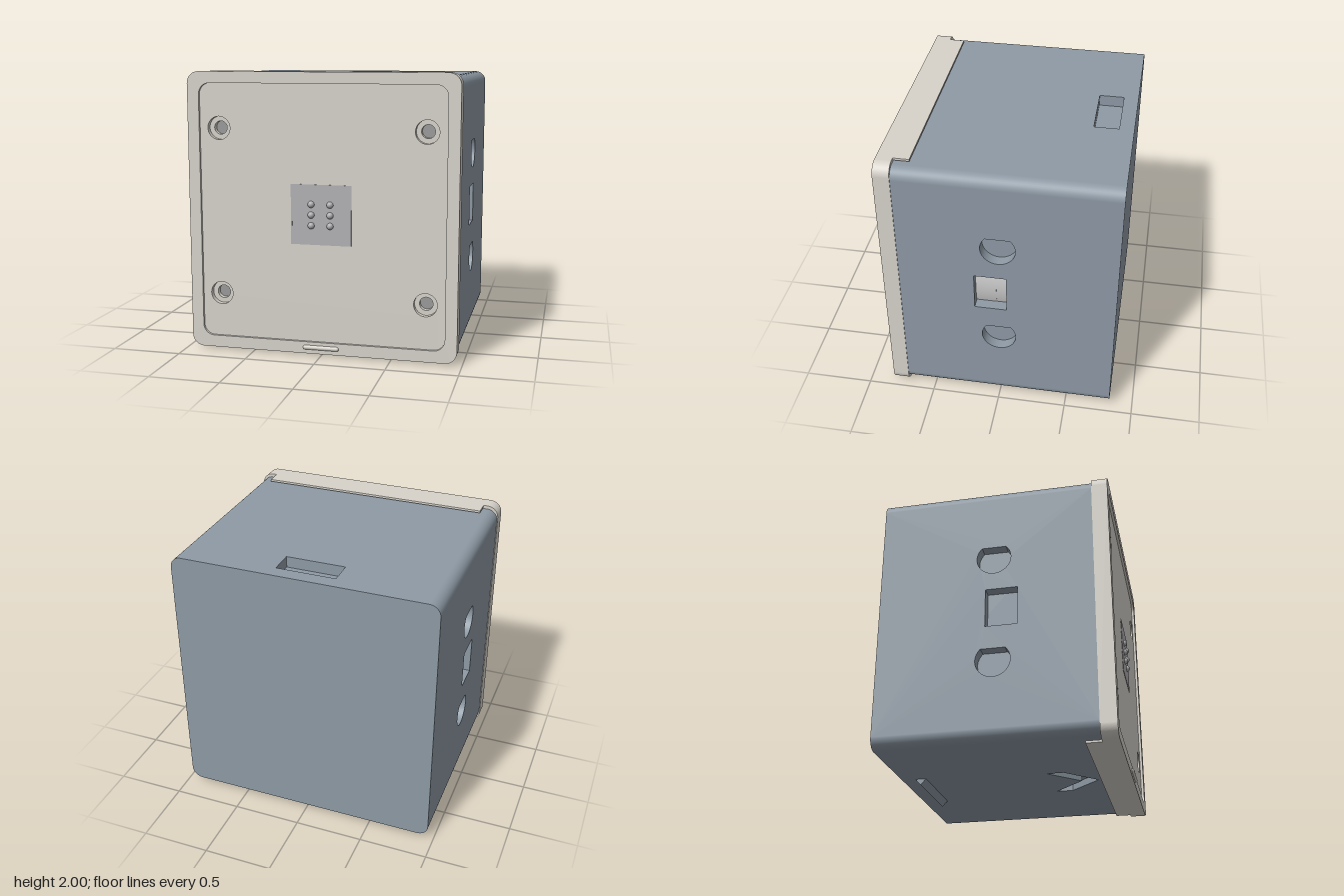
import * as THREE from 'three';

const paint = (color) => new THREE.MeshStandardMaterial({ color, roughness: 0.8 });

// Rounded rectangle outline, usable as a shape or as a hole
function roundRect(target, x0, y0, x1, y1, r) {
  target.absarc(x1 - r, y0 + r, r, -Math.PI / 2, 0);
  target.absarc(x1 - r, y1 - r, r, 0, Math.PI / 2);
  target.absarc(x0 + r, y1 - r, r, Math.PI / 2, Math.PI);
  target.absarc(x0 + r, y0 + r, r, Math.PI, Math.PI * 1.5);
  target.closePath();
  return target;
}
const polygon = (pts) => pts.map(([x, y]) => new THREE.Vector2(x, y));
const rect = (x0, y0, x1, y1) => polygon([[x0, y0], [x1, y0], [x1, y1], [x0, y1]]);
const circle = (x, y, r) => new THREE.Path().absarc(x, y, r, 0, Math.PI * 2);
const extrude = (shape, depth) =>
  new THREE.ExtrudeGeometry(shape, { depth, bevelEnabled: false, curveSegments: 24 });

export function createModel() {
  const model = new THREE.Group();
  model.name = 'box';
  const bodyMat = paint(0x8e9aa5);
  const coverMat = paint(0xd7d3cb);
  const greyMat = paint(0xcccccc);
  const buttonMat = paint(0xb2b1b4);
  const screwMat = paint(0x9a9a9a);

  const add = (name, geometry, material, x = 0, y = 0, z = 0) => {
    const mesh = new THREE.Mesh(geometry, material);
    mesh.name = name;
    mesh.position.set(x, y, z);
    model.add(mesh);
    return mesh;
  };
  const block = (name, mat, x0, x1, y0, y1, z0, z1) =>
    add(name, new THREE.BoxGeometry(x1 - x0, y1 - y0, z1 - z0), mat,
      (x0 + x1) / 2, (y0 + y1) / 2, (z0 + z1) / 2);

  // Body: solid core, four plates with cut-outs, four round corners
  const W = 0.96, Y0 = 0.045, Y1 = 1.975, ZB = -0.83, ZF = 0.7, R = 0.08;
  block('bodyCore', bodyMat, -W + R, W - R, Y0 + 0.05, Y1 - R, ZB, ZF);

  // Side plates: two drop-shaped recesses and a window (shape x is -z)
  const side = new THREE.Shape(rect(-ZF, Y0 + R, -ZB, Y1 - R));
  for (const cy of [1.405, 0.613]) {
    const drop = new THREE.Path();
    drop.moveTo(0.005, cy + 0.173);
    drop.absarc(0.005, cy, 0.122, Math.PI * 0.75, Math.PI * 2.25);
    drop.closePath();
    side.holes.push(drop);
  }
  side.holes.push(new THREE.Path(rect(-0.165, 0.87, 0.062, 1.155)));
  const sideGeo = extrude(side, R).rotateY(Math.PI / 2);
  add('sidePlateLeft', sideGeo, bodyMat, W - R);
  add('sidePlateRight', sideGeo, bodyMat, -W);

  // Top plate with a slot, bottom plate with a chevron (shape y is -z)
  const top = new THREE.Shape(rect(-W + R, -ZF, W - R, -ZB));
  top.holes.push(new THREE.Path(rect(-0.215, 0.55, 0.215, 0.725)));
  add('topPlate', extrude(top, R).rotateX(-Math.PI / 2), bodyMat, 0, Y1 - R);
  const bottom = new THREE.Shape(rect(-W + R, -ZF, W - R, -ZB));
  bottom.holes.push(new THREE.Path(polygon([
    [-0.21, -0.22], [0, -0.44], [0.21, -0.22], [0.21, -0.34], [0, -0.56], [-0.21, -0.34]])));
  add('bottomPlate', extrude(bottom, 0.05).rotateX(-Math.PI / 2), bodyMat, 0, Y0);

  for (const sx of [-1, 1]) {
    for (const y of [Y0 + R, Y1 - R]) {
      const corner = new THREE.CylinderGeometry(R, R, ZF - ZB, 40).rotateX(Math.PI / 2);
      add('bodyCorner', corner, bodyMat, sx * (W - R), y, (ZF + ZB) / 2);
    }
  }

  // Stacking ridge under the body
  const ridge = new THREE.Shape(polygon([[0.65, Y0], [0.69, 0.002], [0.73, Y0]]));
  add('stackingRidge', extrude(ridge, 0.56).rotateY(Math.PI / 2), bodyMat, -0.28);

  // Curved grey part inside the left window, in two lengths
  for (const [z0, z1, r] of [[0.02, 0.165, 0.5], [-0.062, 0.02, 0.498]]) {
    const curve = new THREE.CylinderGeometry(r, r, z1 - z0, 12, 1, false, Math.PI / 2 - 0.3, 0.6);
    add('windowRoller', curve.rotateX(Math.PI / 2), greyMat, 0.402, 1.0125, (z0 + z1) / 2);
  }

  // Cover: raised rim around a recessed panel with stepped screw holes
  const CW = 0.965, C0 = 0.015, C1 = 2;
  const rim = roundRect(new THREE.Shape(), -CW, C0, CW, C1, 0.085);
  rim.holes.push(roundRect(new THREE.Path(), -0.88, 0.1, 0.88, 1.92, 0.08));
  add('coverRim', extrude(rim, 0.115), coverMat, 0, 0, ZF);

  const screws = [-0.74, 0.74].flatMap((x) => [0.415, 1.605].map((y) => [x, y]));
  for (const [name, r, z] of [['coverPanel', 0.082, 0.755], ['coverScrewSeat', 0.047, 0.715]]) {
    const panel = roundRect(new THREE.Shape(), -0.88, 0.1, 0.88, 1.92, 0.08);
    panel.holes.push(...screws.map(([x, y]) => circle(x, y, r)));
    add(name, extrude(panel, 0.04), coverMat, 0, 0, z);
  }
  for (const [x, y] of screws) {
    add('screw', new THREE.CylinderGeometry(0.06, 0.06, 0.012, 24).rotateX(Math.PI / 2),
      screwMat, x, y, 0.708);
  }
  block('coverTabTop', coverMat, -0.85, 0.85, C1 - 0.016, C1, 0.59, ZF);
  block('coverTabBottom', coverMat, -0.85, 0.85, C0, C0 + 0.016, 0.59, ZF);

  // Square button with six raised dots
  block('button', buttonMat, -0.207, 0.207, 0.8, 1.225, 0.76, 0.798);
  for (const sx of [-1, 1]) {
    block('buttonEdge', buttonMat, sx * 0.2125 - 0.0045, sx * 0.2125 + 0.0045, 0.8, 1.225, 0.76, 0.796);
  }
  for (const x of [-0.07, 0.066]) {
    for (const y of [0.936, 1.011, 1.086]) {
      add('buttonDot', new THREE.SphereGeometry(0.024, 20, 14), buttonMat, x, y, 0.798);
    }
  }

  // Finger grip on the lower rim
  add('fingerGrip', new THREE.CapsuleGeometry(0.016, 0.23, 8, 16).rotateZ(Math.PI / 2),
    coverMat, 0, 0.06, 0.814);

  return model;
}
